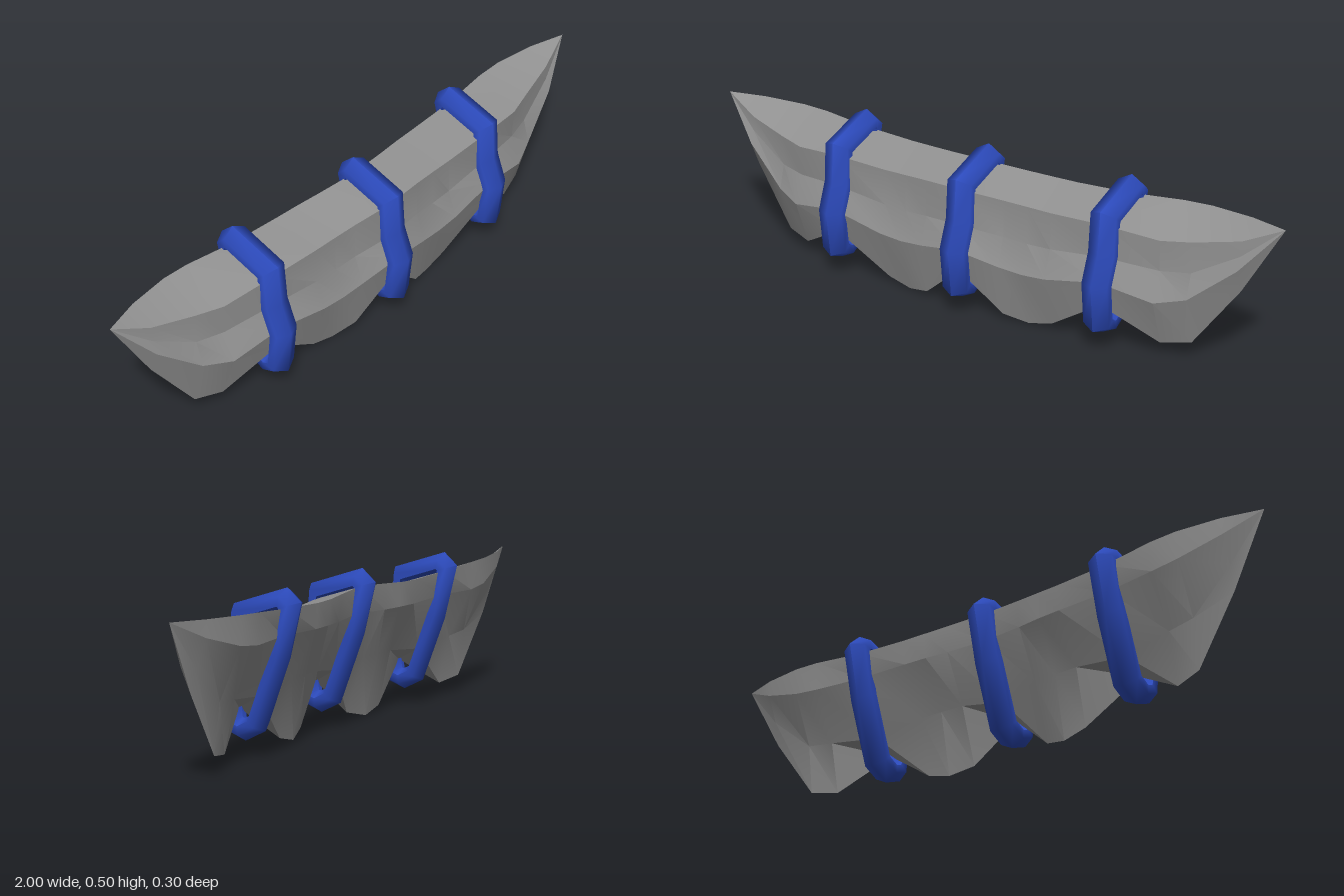
import * as THREE from 'three';
import { toCreasedNormals } from 'three/addons/utils/BufferGeometryUtils.js';

// Skins a list of closed rings of Vector3; closeEnds also joins the last ring to the first.
function loft(rings, closeEnds, crease) {
  const pos = [];
  const tri = (a, b, c) => {
    if (a.distanceTo(b) < 1e-5 || b.distanceTo(c) < 1e-5 || c.distanceTo(a) < 1e-5) return;
    for (const p of [a, b, c]) pos.push(p.x, p.y, p.z);
  };
  const n = rings.length, m = rings[0].length;
  for (let i = 0; i < (closeEnds ? n : n - 1); i++) {
    const A = rings[i], B = rings[(i + 1) % n];
    for (let j = 0; j < m; j++) {
      const k = (j + 1) % m;
      tri(A[j], A[k], B[k]);
      tri(A[j], B[k], B[j]);
    }
  }
  const geo = new THREE.BufferGeometry();
  geo.setAttribute('position', new THREE.Float32BufferAttribute(pos, 3));
  return toCreasedNormals(geo, crease);
}

// Body edges along half the length, one [y, z] per station
const stations = [0, 0.14, 0.22, 0.30, 0.48, 0.65, 0.74, 0.88];
const tip = [0.465, -0.06];
const edges = {
  top: [[.445, -.07], [.438, -.085], [.434, -.095], [.433, -.1], [.44, -.105], [.452, -.12], [.456, -.12], [.461, -.098]],
  upperFront: [[.4, .075], [.393, .06], [.39, .055], [.388, .052], [.392, .048], [.377, .025], [.385, 0], [.412, -.03]],
  hollow: [[.285, .08], [.275, .06], [.27, .055], [.272, .053], [.29, .048], [.28, .02], [.287, -.002], [.365, -.028]],
  bulge: [[.215, .11], [.187, .09], [.18, .085], [.185, .083], [.22, .078], [.19, .055], [.21, .02], [.325, -.012]],
  hem: [[.14, .09], [.02, .06], [0, .037], [.02, .035], [.14, .06], [.04, 0], [.055, -.025], [.25, -.045]],
  lowerBack: [[.18, .02], [.2, 0], [.2, -.005], [.2, -.007], [.18, -.01], [.2, -.035], [.21, -.045], [.325, -.062]],
  upperBack: [[.36, -.058], [.355, -.075], [.355, -.085], [.355, -.09], [.36, -.09], [.36, -.115], [.37, -.116], [.41, -.096]],
};

function createBody() {
  const ring = (i, side) => Object.values(edges).map(e => {
    const [y, z] = i < stations.length ? e[i] : tip;
    return new THREE.Vector3(side * (stations[i] ?? 1), y, z);
  });
  const rings = [];
  for (let i = stations.length; i > 0; i--) rings.push(ring(i, -1));
  for (let i = 0; i <= stations.length; i++) rings.push(ring(i, 1));
  return loft(rings, false, 0.33);
}

// Outer path of a strap as [z, y], and its bevelled section as [x, depth]
const strapPath = [[-.105, .5], [.075, .442], [.085, .31], [.12, .22], [.103, .07],
  [.038, .045], [-.03, .08], [-.107, .285], [-.15, .46]];
const strapSection = [[0, 0], [-.043, .02], [-.043, .045], [0, .06], [.043, .045], [.043, .02]];

function createStrap() {
  const pts = strapPath.map(p => new THREE.Vector2(...p));
  const n = pts.length;
  const inward = (a, b) => {
    const d = b.clone().sub(a).normalize();
    return new THREE.Vector2(d.y, -d.x);
  };
  const rings = pts.map((p, i) => {
    // Mitred inward direction at each corner
    const n1 = inward(pts[(i + n - 1) % n], p), n2 = inward(p, pts[(i + 1) % n]);
    const miter = n1.clone().add(n2).divideScalar(1 + n1.dot(n2));
    return strapSection.map(([x, d]) => new THREE.Vector3(x, p.y + miter.y * d, p.x + miter.x * d));
  });
  return loft(rings, true, 1.2);
}

export function createModel() {
  const model = new THREE.Group();
  const cloth = new THREE.MeshStandardMaterial({ color: 0x919191, side: THREE.DoubleSide });
  const blue = new THREE.MeshStandardMaterial({ color: 0x2c4abb });

  const body = new THREE.Mesh(createBody(), cloth);
  body.name = 'rolledCloth';
  model.add(body);

  // Three straps, the middle one set further forward
  const strapGeo = createStrap();
  for (const [name, x, z] of [['rightStrap', -.48, 0], ['middleStrap', 0, .03], ['leftStrap', .48, 0]]) {
    const strap = new THREE.Mesh(strapGeo, blue);
    strap.name = name;
    strap.position.set(x, 0, z);
    model.add(strap);
  }
  return model;
}
